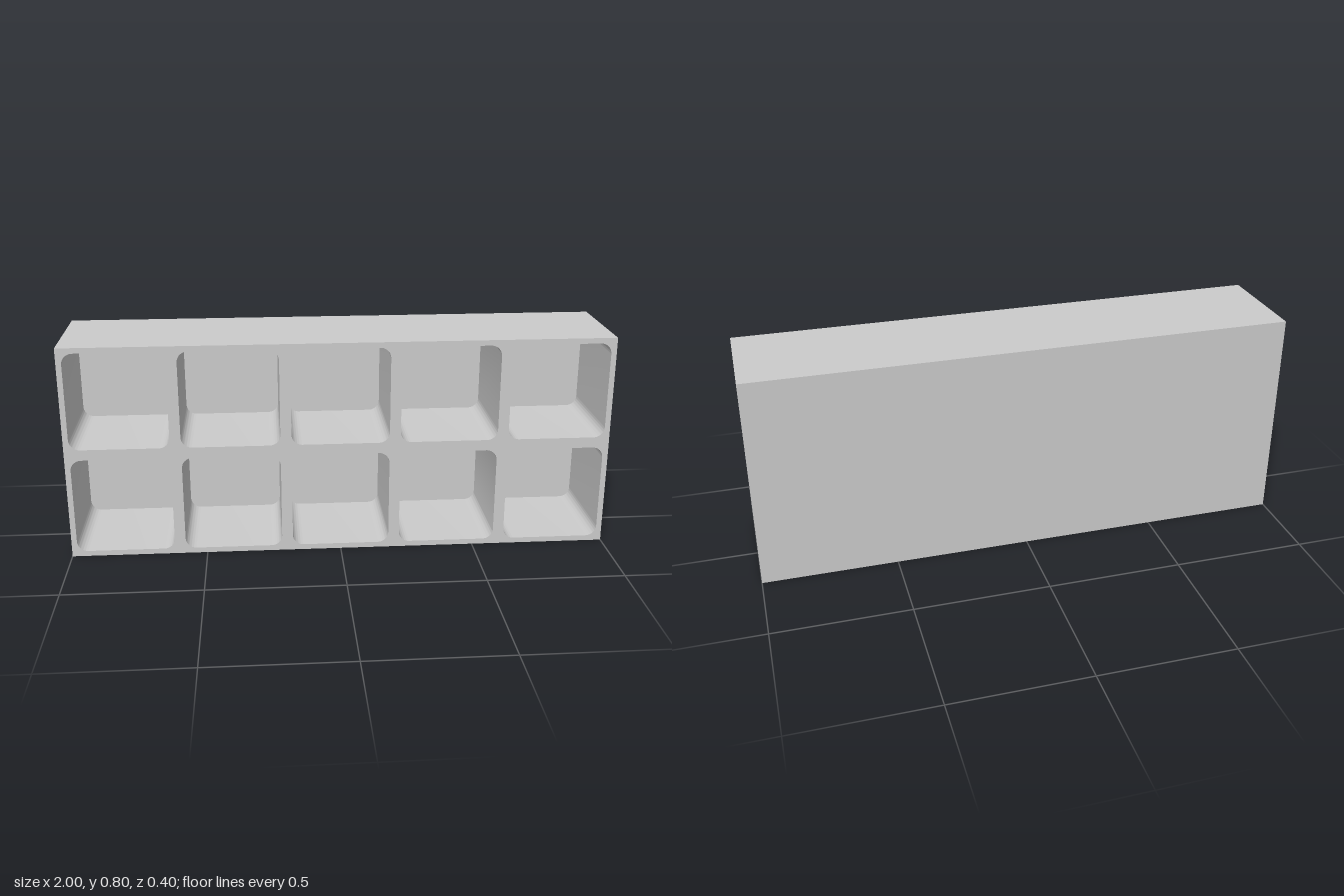
import * as THREE from 'three';
import { toCreasedNormals } from 'three/addons/utils/BufferGeometryUtils.js';

const COLS = 5, ROWS = 2, PITCH = 0.4, WALL = 0.02, RADIUS = 0.04;
const WIDTH = COLS * PITCH, HEIGHT = ROWS * PITCH, DEPTH = 0.4;

// Square opening with rounded corners, lower left corner at x, y
function roundedSquare(x, y, s, r) {
  const p = new THREE.Path();
  p.absarc(x + s - r, y + r, r, -Math.PI / 2, 0);
  p.absarc(x + s - r, y + s - r, r, 0, Math.PI / 2);
  p.absarc(x + r, y + s - r, r, Math.PI / 2, Math.PI);
  p.absarc(x + r, y + r, r, Math.PI, Math.PI * 1.5);
  p.closePath();
  return p;
}

export function createModel() {
  const group = new THREE.Group();
  group.name = 'cubbyShelf';
  const material = new THREE.MeshStandardMaterial({ color: 0xcccccc });

  // Frame: rectangular block pierced by a grid of compartments
  const outline = new THREE.Shape([
    new THREE.Vector2(-WIDTH / 2, 0), new THREE.Vector2(WIDTH / 2, 0),
    new THREE.Vector2(WIDTH / 2, HEIGHT), new THREE.Vector2(-WIDTH / 2, HEIGHT),
  ]);
  for (let row = 0; row < ROWS; row++) {
    for (let col = 0; col < COLS; col++) {
      outline.holes.push(roundedSquare(
        -WIDTH / 2 + col * PITCH + WALL, row * PITCH + WALL, PITCH - 2 * WALL, RADIUS));
    }
  }
  const frameGeometry = new THREE.ExtrudeGeometry(outline, {
    depth: DEPTH - WALL, bevelEnabled: false, curveSegments: 10,
  });
  const frame = new THREE.Mesh(toCreasedNormals(frameGeometry, Math.PI / 6), material);
  frame.name = 'compartmentFrame';
  frame.position.z = -DEPTH / 2 + WALL;
  group.add(frame);

  // Back panel closing every compartment
  const back = new THREE.Mesh(new THREE.BoxGeometry(WIDTH, HEIGHT, WALL), material);
  back.name = 'backPanel';
  back.position.set(0, HEIGHT / 2, -DEPTH / 2 + WALL / 2);
  group.add(back);

  return group;
}
